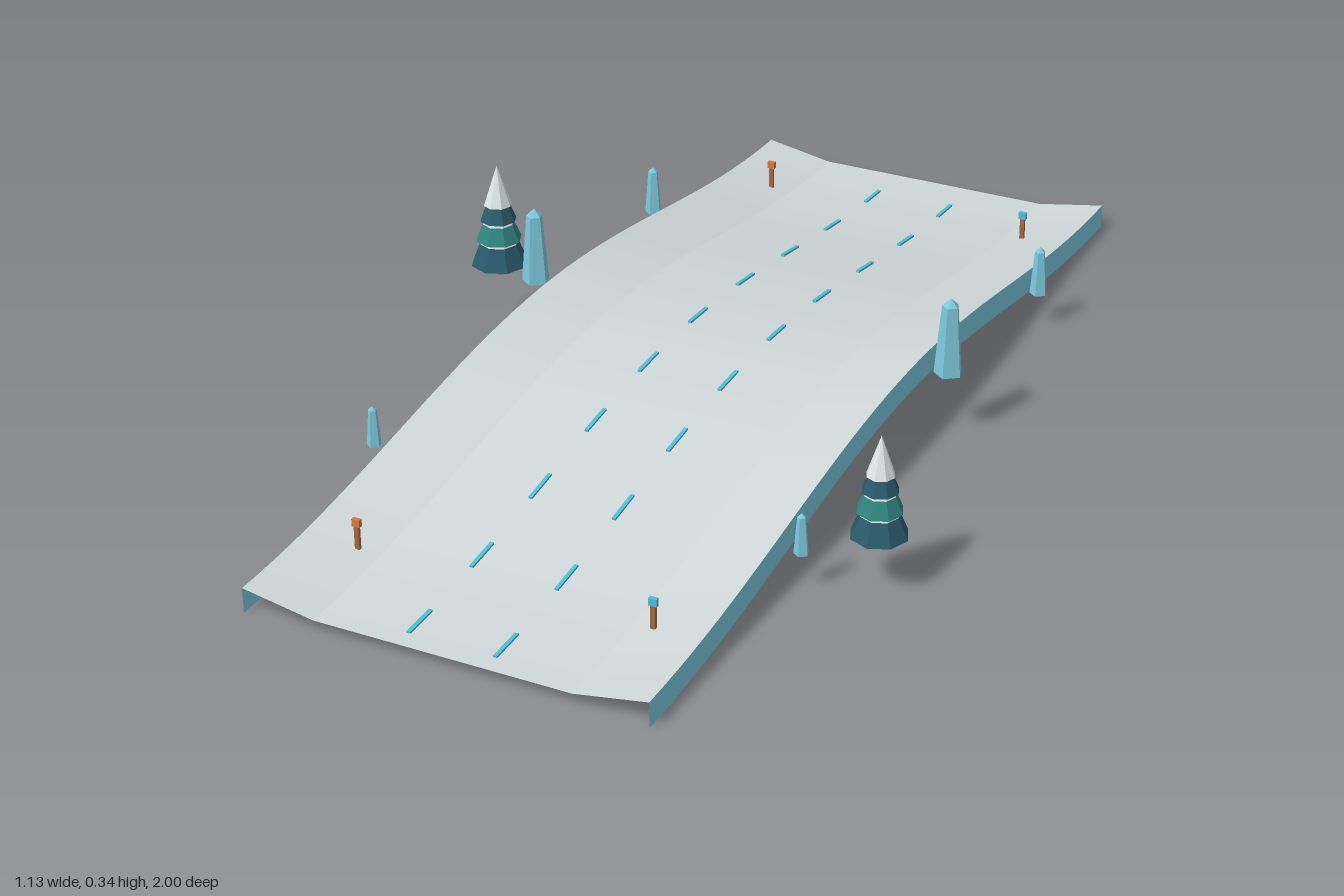
import * as THREE from 'three';

const mat = (name, color, extra = {}) => {
  const m = new THREE.MeshStandardMaterial({ color, ...extra });
  m.name = name;
  return m;
};

const CENTRE = -0.0125; // the deck sits slightly off the middle
const HALF = 0.373, INNER = 0.238, RISE = 0.024;

// height of the deck's flat middle along z, and across its raised wings
const roadY = (z) => 0.0235 + 0.0975 * (1 + Math.cos(Math.PI * z)) / 2;
const deckY = (x, z) =>
  roadY(z) + RISE * Math.max(0, (Math.abs(x - CENTRE) - INNER) / (HALF - INNER));

// lengthwise ribbon between two cross-section points [x, y offset]
function ribbon([xa, ya], [xb, yb], steps = 40) {
  const pos = [], index = [];
  for (let i = 0; i <= steps; i++) {
    const z = -1 + (2 * i) / steps, y = roadY(z);
    pos.push(xa, y + ya, z, xb, y + yb, z);
    if (i < steps) {
      const k = i * 2;
      index.push(k, k + 2, k + 1, k + 1, k + 2, k + 3);
    }
  }
  const g = new THREE.BufferGeometry();
  g.setAttribute('position', new THREE.Float32BufferAttribute(pos, 3));
  g.setIndex(index);
  g.computeVertexNormals();
  return g;
}

export function createModel() {
  const root = new THREE.Group();
  root.name = 'snowyRoad';

  const snowRoad = mat('packed snow', 0xd0d8da, { side: THREE.DoubleSide });
  const iceWall = mat('ice wall', 0x7ecae0, { side: THREE.DoubleSide });
  const ice = mat('ice', 0x7ecae0, { flatShading: true });
  const lane = mat('lane blue', 0x4fc0d8);
  const navy = mat('dark needles', 0x2a5a6c, { flatShading: true });
  const teal = mat('teal needles', 0x30857f, { flatShading: true });
  const snow = mat('snow', 0xe2e8e8, { flatShading: true });
  const wood = mat('wood', 0xa5683f, { flatShading: true });
  const orange = mat('orange marker', 0xd87a3c);

  const add = (parent, name, geometry, material, x = 0, y = 0, z = 0) => {
    const m = new THREE.Mesh(geometry, material);
    m.name = name;
    m.position.set(x, y, z);
    parent.add(m);
    return m;
  };

  // deck: flat middle and two raised wings, with ice walls hanging from the edges
  const L = CENTRE - HALF, R = CENTRE + HALF, l = CENTRE - INNER, r = CENTRE + INNER;
  const WALL = RISE - 0.0475;
  add(root, 'rightWing', ribbon([L, RISE], [l, 0]), snowRoad);
  add(root, 'roadMiddle', ribbon([l, 0], [r, 0]), snowRoad);
  add(root, 'leftWing', ribbon([r, 0], [R, RISE]), snowRoad);
  add(root, 'rightWall', ribbon([L, WALL], [L, RISE]), iceWall);
  add(root, 'leftWall', ribbon([R, RISE], [R, WALL]), iceWall);

  // two rows of lane dashes, tilted along the slope
  const dash = new THREE.BoxGeometry(0.007, 0.004, 0.07);
  for (const side of [-1, 1]) {
    for (let i = 0; i < 10; i++) {
      const z = -0.87 + 0.2 * i;
      const m = add(root, 'laneDash', dash, lane, CENTRE + side * 0.08, roadY(z) + 0.002, z);
      m.rotation.x = -Math.atan2(roadY(z + 0.03) - roadY(z - 0.03), 0.06);
    }
  }

  // marker posts: orange heads on the right, blue heads on the left
  for (const z of [-0.8, 0.8]) {
    for (const side of [-1, 1]) {
      const post = new THREE.Group();
      post.name = 'markerPost';
      const x = CENTRE + side * 0.277;
      post.position.set(x, deckY(x, z), z);
      add(post, 'postStem', new THREE.BoxGeometry(0.009, 0.05, 0.006), wood, 0, 0.023, 0);
      add(post, 'postHead', new THREE.BoxGeometry(0.015, 0.014, 0.008),
        side < 0 ? orange : lane, 0, 0.05, 0);
      root.add(post);
    }
  }

  // five-sided ice spires beside both edges: [z, radius, height]
  for (const [z, rad, h] of [[-0.535, 0.017, 0.098], [-0.068, 0.027, 0.149], [0.53, 0.0135, 0.077]]) {
    const profile = [[0, 0], [rad, 0], [rad * 0.58, h * 0.9], [0, h]]
      .map(([a, b]) => new THREE.Vector2(a, b));
    for (const side of [-1, 1]) {
      const x = CENTRE + side * (HALF + 0.028 + rad * 0.75);
      add(root, 'iceSpire', new THREE.LatheGeometry(profile, 5), ice, x, roadY(z), z);
    }
  }

  // fir trees: stacked tiers [name, bottom y, top y, bottom radius, top radius, material]
  const tiers = [
    ['trunk', 0, 0.03, 0.012, 0.012, wood],
    ['lowerBranches', 0.021, 0.064, 0.055, 0.037, navy],
    ['lowerSnow', 0.064, 0.073, 0.037, 0.033, snow],
    ['middleBranches', 0.071, 0.104, 0.044, 0.030, teal],
    ['middleSnow', 0.104, 0.113, 0.030, 0.026, snow],
    ['upperBranches', 0.111, 0.145, 0.035, 0.021, navy],
    ['snowCap', 0.142, 0.221, 0.027, 0, snow],
  ];
  for (const [x, z, s] of [[-0.512, -0.068, 1], [0.508, 0.463, 0.93]]) {
    const tree = new THREE.Group();
    tree.name = 'firTree';
    tree.position.set(x, roadY(z), z);
    tree.scale.setScalar(s);
    for (const [name, y0, y1, r0, r1, material] of tiers) {
      add(tree, name, new THREE.CylinderGeometry(r1, r0, y1 - y0, 8), material, 0, (y0 + y1) / 2, 0);
    }
    root.add(tree);
  }

  return root;
}
